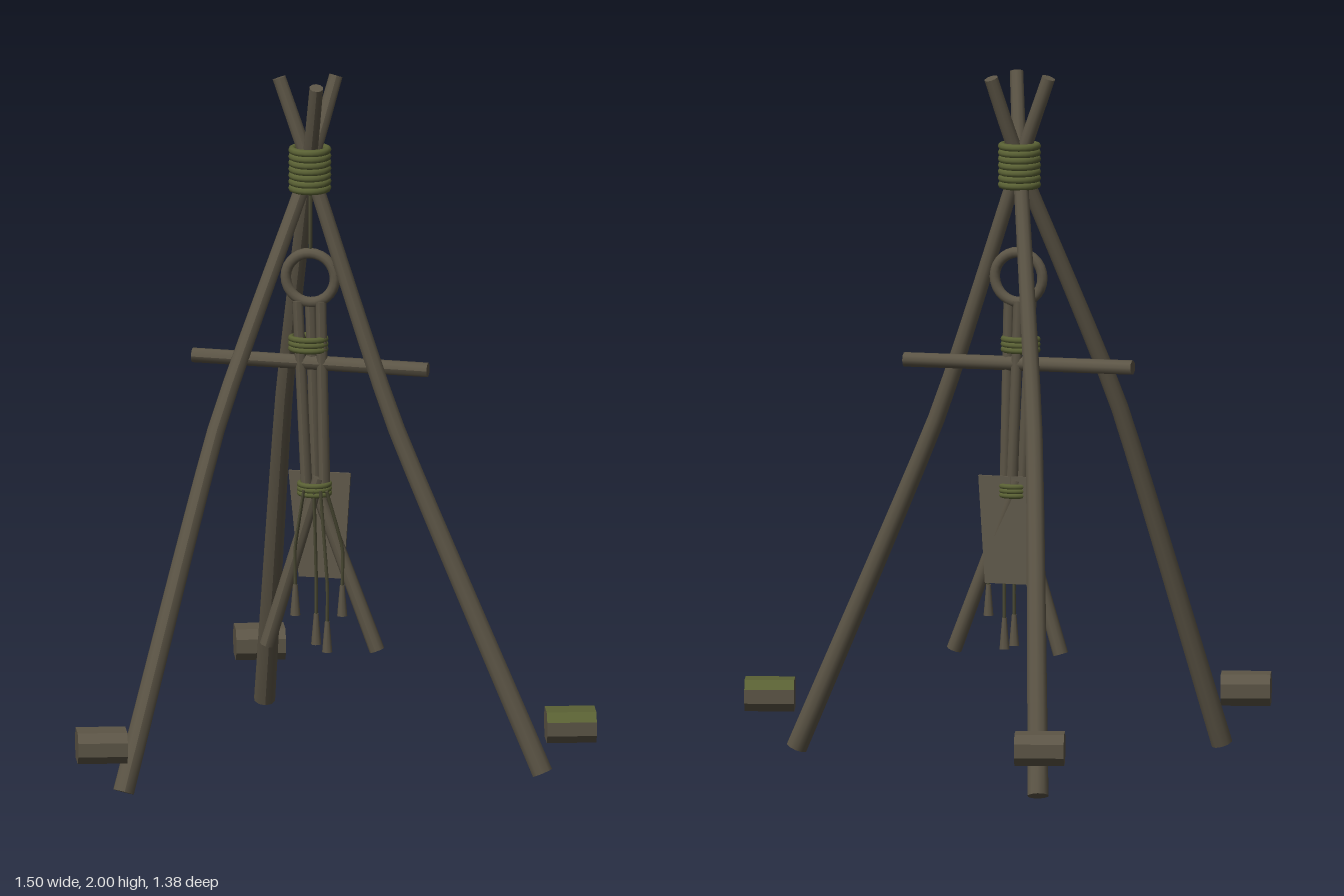
import * as THREE from 'three';

const wood = new THREE.MeshStandardMaterial({ color: 0x5c5546 });
wood.name = 'weathered wood';
const moss = new THREE.MeshStandardMaterial({ color: 0x5a6134 });
moss.name = 'moss green';
const cord = new THREE.MeshStandardMaterial({ color: 0x4b4a34 });
cord.name = 'dark cord';
const cloth = new THREE.MeshStandardMaterial({ color: 0x5f584a, side: THREE.DoubleSide });
cloth.name = 'worn hide';

const V = (p) => new THREE.Vector3(...p);

function add(parent, name, geometry, material) {
  const mesh = new THREE.Mesh(geometry, material);
  mesh.name = name;
  parent.add(mesh);
  return mesh;
}

// Tapered pole following a curve through the points, from r0 to r1
function pole(points, r0, r1, sides = 10) {
  const pts = points.map(V);
  const steps = pts.length > 2 ? 16 : 1;
  const curve = pts.length > 2
    ? new THREE.CatmullRomCurve3(pts, false, 'catmullrom', 0.25)
    : new THREE.LineCurve3(pts[0], pts[1]);
  const geo = new THREE.CylinderGeometry(1, 1, 1, sides, steps);
  const pos = geo.attributes.position;
  const up = new THREE.Vector3(0, 1, 0);
  const q = new THREE.Quaternion();
  const v = new THREE.Vector3();
  for (let i = 0; i < pos.count; i++) {
    const t = Math.min(1, Math.max(0, pos.getY(i) + 0.5));
    const r = r0 + (r1 - r0) * t;
    q.setFromUnitVectors(up, curve.getTangentAt(t));
    v.set(pos.getX(i) * r, 0, pos.getZ(i) * r).applyQuaternion(q).add(curve.getPointAt(t));
    pos.setXYZ(i, v.x, v.y, v.z);
  }
  geo.computeVertexNormals();
  return geo;
}

// Stack of cord coils
function binding(parent, name, [x, y, z], radius, tube, count, pitch, material, squash = 1) {
  const group = new THREE.Group();
  group.name = name;
  group.position.set(x, y, z);
  for (let i = 0; i < count; i++) {
    const coil = add(group, 'coil', new THREE.TorusGeometry(radius, tube, 8, 20), material);
    coil.rotation.x = Math.PI / 2;
    coil.scale.y = squash;
    coil.position.y = (i - (count - 1) / 2) * pitch;
  }
  parent.add(group);
}

// Chamfered block lying along x, with optional moss on its upper faces
function anchorBlock(mossy) {
  const w = 0.065, h = 0.045, c = 0.025;
  const shape = new THREE.Shape([
    [-w + c, -h], [w - c, -h], [w, -h + c], [w, h - c],
    [w - c, h], [-w + c, h], [-w, h - c], [-w, -h + c],
  ].map((p) => new THREE.Vector2(...p)));
  const geo = new THREE.ExtrudeGeometry(shape, { depth: 0.142, bevelEnabled: false });
  geo.translate(0, 0, -0.071);
  geo.rotateY(Math.PI / 2);
  geo.clearGroups();
  const normal = geo.attributes.normal;
  for (let i = 0; i < normal.count; i += 3) {
    geo.addGroup(i, 3, mossy && normal.getY(i) > 0.3 ? 1 : 0);
  }
  return geo;
}

export function createModel() {
  const model = new THREE.Group();
  model.name = 'tripod';

  // Three bent legs crossing under the lashing
  const legs = {
    rightLeg: [[-0.61, 0.012, 0.572], [-0.325, 1.02, 0.325], [-0.055, 1.72, 0.16], [0.032, 1.993, 0.098]],
    leftLeg: [[0.6, 0.014, 0.428], [0.19, 1.0, 0.255], [-0.04, 1.72, 0.16], [-0.132, 1.993, 0.115]],
    backLeg: [[-0.127, 0.014, -0.54], [-0.1, 1.0, -0.135], [-0.05, 1.72, 0.145], [-0.035, 1.993, 0.252]],
  };
  for (const [name, points] of Object.entries(legs)) {
    add(model, name, pole(points, 0.031, 0.02), wood);
  }

  // Lashing at the crossing
  binding(model, 'topLashing', [-0.047, 1.735, 0.158], 0.051, 0.011, 7, 0.0185, moss);

  // Anchor blocks beside the feet
  const blocks = [
    ['rightBlock', -0.677, 0.626, false],
    ['leftBlock', 0.678, 0.462, true],
    ['backBlock', -0.135, -0.628, false],
  ];
  for (const [name, x, z, mossy] of blocks) {
    add(model, name, anchorBlock(mossy), [wood, moss]).position.set(x, 0.163, z);
  }

  // Hanging bundle, turned a little about the vertical
  const hanging = new THREE.Group();
  hanging.name = 'hangingBundle';
  hanging.position.set(-0.045, 0, 0.15);
  hanging.rotation.y = -0.295;
  model.add(hanging);

  add(hanging, 'hangingCord', pole([[0, 1.49, 0], [0, 1.7, 0]], 0.006, 0.006, 6), cord);
  add(hanging, 'ring', new THREE.TorusGeometry(0.072, 0.0155, 10, 28), wood).position.y = 1.413;
  add(hanging, 'crossbar', pole([[-0.345, 1.168, 0], [0.345, 1.16, 0]], 0.021, 0.021), wood);

  // Body rods narrowing towards the lower binding
  for (const i of [-1, 0, 1]) {
    add(hanging, 'bodyRod', pole([
      [0.018 + i * 0.026, 0.78, i ? 0.008 : -0.008],
      [-0.002 + i * 0.034, 1.345, i ? 0.006 : -0.006],
    ], 0.017, 0.016, 8), wood);
  }
  binding(hanging, 'upperBinding', [-0.006, 1.22, 0], 0.05, 0.009, 3, 0.015, moss, 0.75);
  binding(hanging, 'lowerBinding', [0.014, 0.798, 0.008], 0.043, 0.008, 3, 0.013, moss, 0.95);

  // Crossed lower rods
  add(hanging, 'lowerRod', pole([[-0.125, 0.33, 0.006], [0.028, 0.83, 0.012]], 0.022, 0.018), wood);
  add(hanging, 'lowerRod', pole([[0.197, 0.33, 0.006], [0.0, 0.83, -0.01]], 0.022, 0.018), wood);

  // Tapered hide panel behind the rods
  const panel = new THREE.Shape([
    [-0.068, 0.84], [-0.038, 0.53], [0.094, 0.53], [0.114, 0.84],
  ].map((p) => new THREE.Vector2(...p)));
  add(hanging, 'hidePanel', new THREE.ExtrudeGeometry(panel, { depth: 0.008, bevelEnabled: false }), cloth)
    .position.z = -0.024;

  // Strings with flared weights
  const strings = [[-0.035, 0.43, 0.04], [0.024, 0.345, 0.03], [0.062, 0.33, 0.055], [0.098, 0.43, 0.02]];
  for (const [x, y, z] of strings) {
    const knot = [x * 0.5 + 0.01, 0.8, 0.05];
    add(hanging, 'string', pole([knot, [x, y + 0.2, z], [x, y + 0.08, z]].reverse(), 0.005, 0.005, 6), cord);
    add(hanging, 'weight', new THREE.CylinderGeometry(0.007, 0.015, 0.09, 8), wood)
      .position.set(x, y + 0.045, z);
  }

  return model;
}
